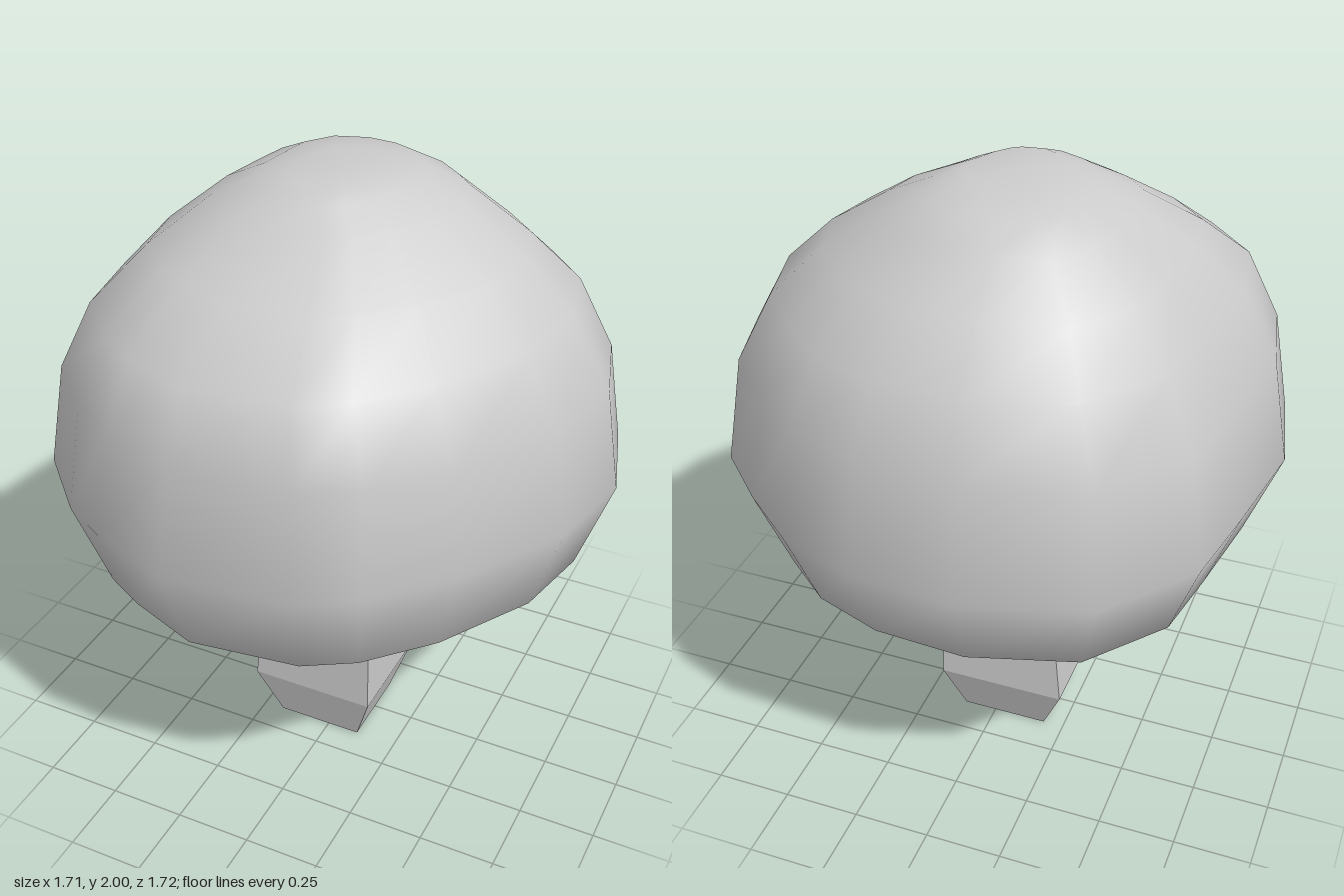
import * as THREE from 'three';

// Skin a stack of horizontal rings, listed bottom to top.
// Each ring is [y, xMin, xMax, zMin, zMax]; the unit outline is stretched to fit.
function loft(outline, rings) {
  const n = outline.length;
  const positions = [];
  const index = [];
  for (const [y, x0, x1, z0, z1] of rings) {
    for (const [u, v] of outline) {
      positions.push((x0 + x1) / 2 + u * (x1 - x0) / 2, y, (z0 + z1) / 2 + v * (z1 - z0) / 2);
    }
  }
  for (let r = 0; r < rings.length - 1; r++) {
    for (let i = 0; i < n; i++) {
      const a = r * n + i;
      const b = r * n + (i + 1) % n;
      index.push(a, a + n, b, b, a + n, b + n);
    }
  }
  // End caps as fans around a centre point
  const addCap = (r, top) => {
    const [y, x0, x1, z0, z1] = rings[r];
    const centre = positions.length / 3;
    positions.push((x0 + x1) / 2, y, (z0 + z1) / 2);
    for (let i = 0; i < n; i++) {
      const a = r * n + i;
      const b = r * n + (i + 1) % n;
      if (top) index.push(b, a, centre);
      else index.push(a, b, centre);
    }
  };
  addCap(0, false);
  addCap(rings.length - 1, true);

  const geometry = new THREE.BufferGeometry();
  geometry.setAttribute('position', new THREE.Float32BufferAttribute(positions, 3));
  geometry.setIndex(index);
  geometry.computeVertexNormals();
  return geometry;
}

export function createModel() {
  const group = new THREE.Group();
  group.name = 'tree';

  // Crown: irregular rounded outline, flattened at its front left
  const crownOutline = [
    [-0.16, -0.86], [0.17, -0.84], [0.42, -0.75], [0.6, -0.6], [0.77, -0.43], [0.855, -0.13],
    [0.79, 0.17], [0.59, 0.5], [0.39, 0.71], [0.22, 0.81], [-0.17, 0.86], [-0.44, 0.76],
    [-0.59, 0.68], [-0.79, 0.48], [-0.855, 0.16], [-0.8, -0.2], [-0.75, -0.48], [-0.53, -0.75],
  ].map(([x, z]) => [x / 0.855, z / 0.86]);
  const crown = new THREE.Mesh(
    loft(crownOutline, [
      [0.58, -0.23, 0.2, -0.2, 0.23],
      [0.655, -0.5, 0.52, -0.48, 0.52],
      [0.79, -0.75, 0.75, -0.74, 0.77],
      [1.08, -0.86, 0.85, -0.86, 0.86],
      [1.42, -0.8, 0.8, -0.79, 0.81],
      [1.64, -0.69, 0.68, -0.72, 0.74],
      [1.79, -0.56, 0.52, -0.56, 0.51],
      [1.92, -0.4, 0.32, -0.43, 0.29],
      [1.975, -0.28, 0.19, -0.34, 0.2],
      [2.0, -0.17, 0.11, -0.2, 0.14],
    ]),
    new THREE.MeshStandardMaterial({ color: 0xcccccc }),
  );
  crown.name = 'crown';
  group.add(crown);

  // Trunk: four-sided, tapering in at the foot and flaring into the crown
  const square = [[-1, -1], [1, -1], [1, 1], [-1, 1]];
  const trunk = new THREE.Mesh(
    loft(square, [
      [0, -0.18, 0.11, -0.13, 0.15],
      [0.18, -0.255, 0.17, -0.19, 0.195],
      [0.475, -0.225, 0.165, -0.18, 0.185],
      [0.59, -0.23, 0.2, -0.19, 0.23],
    ]),
    new THREE.MeshStandardMaterial({ color: 0xcccccc, flatShading: true }),
  );
  trunk.name = 'trunk';
  group.add(trunk);

  return group;
}
